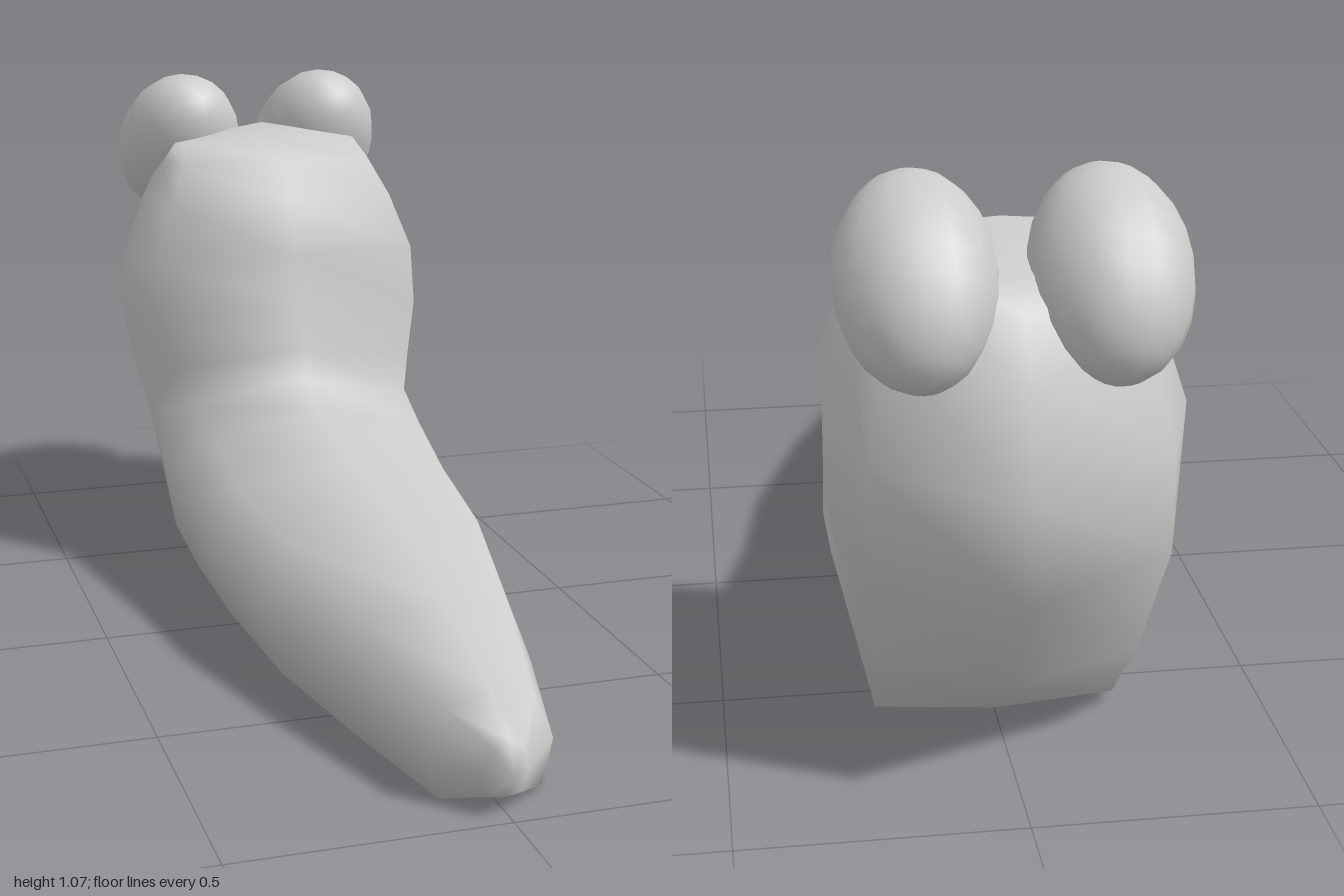
import * as THREE from 'three';

const material = new THREE.MeshStandardMaterial({ color: 0xcccccc });

// Cross-sections from tail to crown:
// [upper z, upper y, lower z, lower y, half width, upper corner width, lower corner lift]
const SECTIONS = [
  [0.97, 0.14, 0.95, 0.025, 0.04, 0.7, 0.05],
  [0.88, 0.19, 0.89, 0.008, 0.115, 0.7, 0],
  [0.62, 0.26, 0.62, 0.005, 0.18, 0.75, 0],
  [0.28, 0.32, 0.28, 0.004, 0.25, 0.8, 0],
  [0.02, 0.35, -0.05, 0.003, 0.272, 0.82, 0],
  [-0.15, 0.405, -0.35, 0.006, 0.275, 0.85, 0],
  [-0.27, 0.45, -0.61, 0.012, 0.272, 0.9, 0.03],
  [-0.285, 0.51, -0.8, 0.16, 0.285, 0.93, 0.1],
  [-0.315, 0.6, -0.98, 0.4, 0.315, 0.94, 0.17],
  [-0.345, 0.71, -1.0, 0.59, 0.316, 0.94, 0.2],
  [-0.37, 0.82, -0.93, 0.78, 0.268, 0.93, 0.2],
  [-0.44, 0.9, -0.86, 0.87, 0.228, 0.93, 0.17],
  [-0.52, 0.935, -0.8, 0.91, 0.212, 0.93, 0.15],
];
const TAIL_TIP = [0, 0.08, 1.0];
const CROWN = [0, 0.965, -0.62];

// Eight points round one section, starting on the back ridge
function ring([uz, uy, lz, ly, w, corner, lift]) {
  const half = [[0, 1], [corner, 0.87], [1, 0.45], [0.82, lift], [0, 0]];
  const mirrored = half.slice(1, 4).reverse().map(([x, t]) => [-x, t]);
  return [...half, ...mirrored].map(([x, t]) => [x * w, ly + (uy - ly) * t, lz + (uz - lz) * t]);
}

// Skin the sections and close both ends with a point
function bodyGeometry() {
  const n = 8;
  const rings = SECTIONS.map(ring);
  const positions = [...rings.flat(), TAIL_TIP, CROWN].flat();
  const tail = rings.length * n;
  const crown = tail + 1;
  const last = (rings.length - 1) * n;
  const index = [];
  for (let j = 0; j < n; j++) {
    const k = (j + 1) % n;
    index.push(tail, k, j, crown, last + j, last + k);
    for (let i = 0; i < rings.length - 1; i++) {
      const a = i * n + j, b = i * n + k;
      index.push(a, b, a + n, b, b + n, a + n);
    }
  }
  const geometry = new THREE.BufferGeometry();
  geometry.setAttribute('position', new THREE.Float32BufferAttribute(positions, 3));
  geometry.setIndex(index);
  geometry.computeVertexNormals();
  return geometry;
}

export function createModel() {
  const group = new THREE.Group();
  group.name = 'slug';

  const body = new THREE.Mesh(bodyGeometry(), material);
  body.name = 'body';
  group.add(body);

  // Egg-shaped eyes leaning forward on the head
  for (const side of [1, -1]) {
    const eye = new THREE.Mesh(new THREE.SphereGeometry(1, 16, 12), material);
    eye.name = side > 0 ? 'leftEye' : 'rightEye';
    eye.scale.set(0.14, 0.2, 0.13);
    eye.rotation.x = Math.PI / 4;
    eye.position.set(side * 0.163, 0.903, -0.765);
    group.add(eye);
  }
  return group;
}
